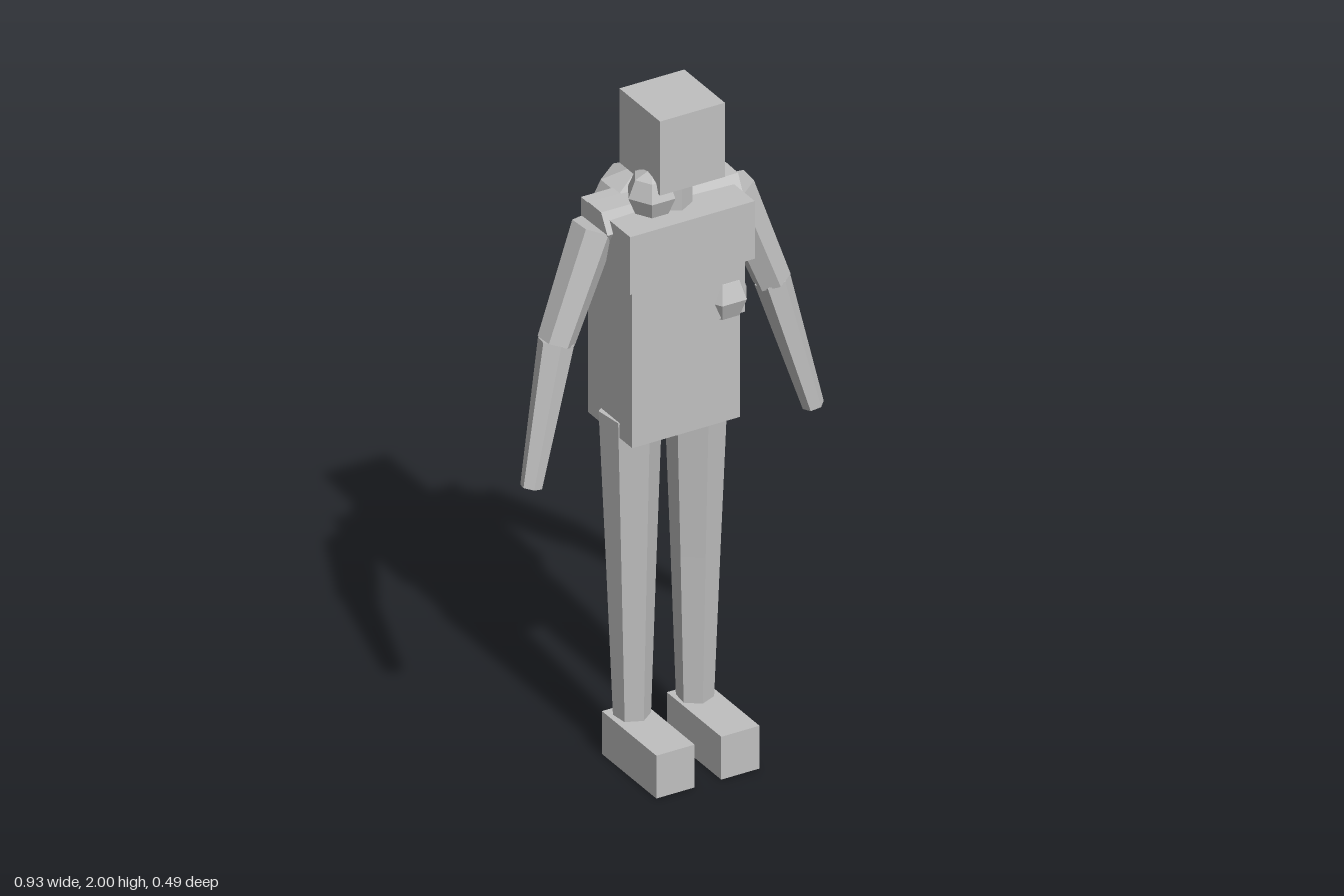
import * as THREE from 'three';

export function createModel() {
  const root = new THREE.Group();
  root.name = 'blockFigure';
  const grey = new THREE.MeshStandardMaterial({ color: 0xc0c0c0, flatShading: true });
  grey.name = 'grey';

  const add = (name, geometry) => {
    const mesh = new THREE.Mesh(geometry, grey);
    mesh.name = name;
    root.add(mesh);
    return mesh;
  };

  // Box given by its lower and upper corners
  const block = (name, [x0, y0, z0], [x1, y1, z1]) => {
    add(name, new THREE.BoxGeometry(x1 - x0, y1 - y0, z1 - z0))
      .position.set((x0 + x1) / 2, (y0 + y1) / 2, (z0 + z1) / 2);
  };

  // Tapered six-sided limb between two points
  const up = new THREE.Vector3(0, 1, 0);
  const limb = (name, from, to, rFrom, rTo) => {
    const a = new THREE.Vector3(...from);
    const b = new THREE.Vector3(...to);
    const dir = b.clone().sub(a);
    const mesh = add(name, new THREE.CylinderGeometry(rTo, rFrom, dir.length(), 6));
    mesh.position.copy(a).add(b).multiplyScalar(0.5);
    mesh.quaternion.setFromUnitVectors(up, dir.normalize());
  };

  // Coarse ball
  const ball = (name, position, radius, sides) => {
    const geometry = new THREE.SphereGeometry(radius, sides, 4).rotateY(Math.PI);
    add(name, geometry).position.set(...position);
  };

  // Head, neck and stacked torso
  block('head', [-0.1, 1.775, -0.045], [0.1, 2, 0.165]);
  limb('neck', [0, 1.64, 0.053], [0, 1.8, 0.053], 0.058, 0.058);
  block('chest', [-0.192, 1.5, -0.09], [0.192, 1.675, 0.165]);
  block('abdomen', [-0.174, 1.335, -0.09], [0.174, 1.5, 0.145]);
  block('hips', [-0.165, 1.01, -0.1], [0.168, 1.335, 0.13]);

  // Arms and legs, mirrored
  for (const [side, s] of [['left', 1], ['right', -1]]) {
    const shoulder = [s * 0.211, 1.643, 0.013];
    const elbow = [s * 0.333, 1.33, 0.018];
    limb(side + 'Collar', [0, 1.645, 0.01], shoulder, 0.055, 0.065);
    limb(side + 'UpperArm', shoulder, elbow, 0.063, 0.052);
    limb(side + 'Forearm', elbow, [s * 0.435, 0.936, 0.06], 0.05, 0.03);

    const knee = [s * 0.099, 0.58, 0.014];
    limb(side + 'Thigh', [s * 0.101, 1.055, 0.013], knee, 0.085, 0.067);
    limb(side + 'Shin', knee, [s * 0.097, 0.1, 0.015], 0.067, 0.05);
    const cx = s * 0.1;
    block(side + 'Foot', [cx - 0.059, 0, -0.037], [cx + 0.059, 0.13, 0.245]);
  }

  // Rounded lumps on the back, collar and side
  ball('backLump', [0, 1.565, -0.1], 0.153, 7);
  ball('collarLump', [-0.088, 1.752, 0.102], 0.072, 6);
  ball('sideLump', [0.13, 1.383, 0.1], 0.075, 6);

  return root;
}
